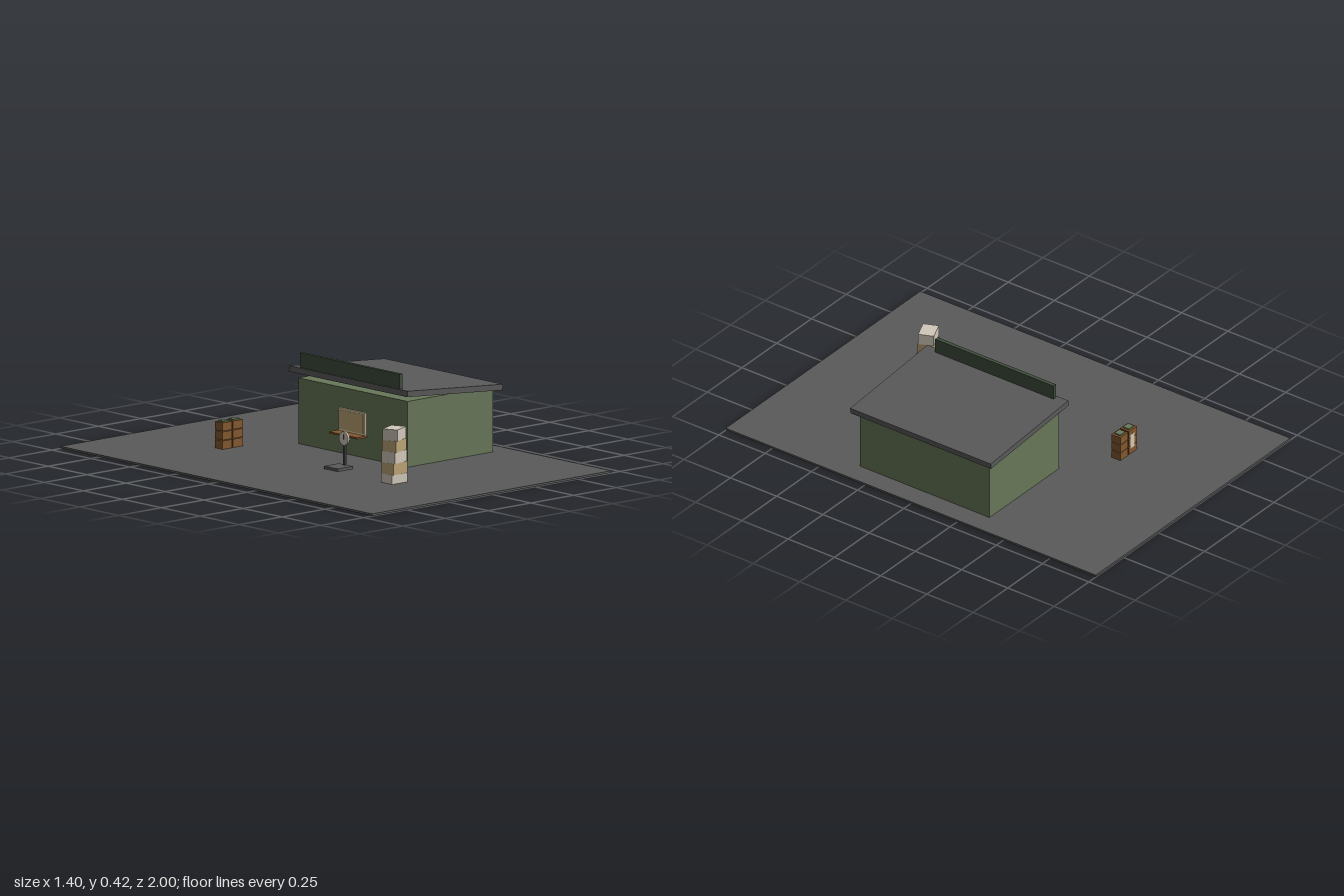
import * as THREE from 'three';

const mat = (name, color) => {
  const m = new THREE.MeshStandardMaterial({ color });
  m.name = name;
  return m;
};

export function createModel() {
  const model = new THREE.Group();
  model.name = 'tradingYard';
  const asphalt = mat('asphalt grey', 0x5a5a5a);
  const green = mat('wall green', 0x687859);
  const darkGreen = mat('sign green', 0x3f4d3c);
  const wood = mat('wood brown', 0x85592f);
  const glow = mat('warm window', 0xe8d3a8);
  const pale = mat('pale sack', 0xd2c9ba);
  const tan = mat('tan sack', 0xbca577);
  const steel = mat('dark steel', 0x4a4a4a);

  const box = (name, m, w, h, d, x, y, z, parent = model) => {
    const mesh = new THREE.Mesh(new THREE.BoxGeometry(w, h, d), m);
    mesh.name = name;
    mesh.position.set(x, y, z);
    parent.add(mesh);
    return mesh;
  };

  // Ground slab
  box('ground', asphalt, 1.4, 0.009, 2, 0, 0.0055, 0);

  // Building with a sloping roof and a sign board on the high side
  const building = new THREE.Group();
  building.name = 'building';
  model.add(building);
  box('walls', green, 0.5, 0.29, 0.7, 0.35, 0.155, 0, building);
  box('roof', asphalt, 0.56, 0.026, 0.76, 0.35, 0.318, 0, building).rotation.z = -0.08;
  box('signBoard', darkGreen, 0.018, 0.07, 0.64, 0.089, 0.383, 0, building);
  box('window', glow, 0.01, 0.1, 0.17, 0.096, 0.16, 0, building);
  box('windowPane', tan, 0.004, 0.085, 0.155, 0.0905, 0.16, 0, building);
  box('counter', wood, 0.06, 0.008, 0.18, 0.07, 0.106, 0, building);

  // Twisted stack of sacks
  const sacks = new THREE.Group();
  sacks.name = 'sackStack';
  sacks.position.set(-0.16, 0, 0.55);
  model.add(sacks);
  for (let i = 0; i < 5; i++) {
    box('sack', i % 2 ? tan : pale, 0.09, 0.05, 0.07, 0, 0.025 + i * 0.05, 0, sacks).rotation.y = i * 0.1;
  }

  // Weighing scale: platform, post and round dial
  const scale = new THREE.Group();
  scale.name = 'scale';
  scale.position.set(-0.145, 0, 0.175);
  model.add(scale);
  box('scalePlatform', asphalt, 0.088, 0.012, 0.088, 0, 0.016, 0, scale);
  box('scalePost', steel, 0.01, 0.13, 0.012, 0.037, 0.085, 0, scale);
  const dial = new THREE.Mesh(new THREE.CylinderGeometry(0.03, 0.03, 0.01, 20), pale);
  dial.name = 'scaleDial';
  dial.rotation.z = Math.PI / 2;
  dial.position.set(0.034, 0.14, 0);
  scale.add(dial);
  box('dialNeedle', steel, 0.002, 0.022, 0.004, 0.0285, 0.147, 0, scale);

  // Two columns of three crates filled with produce
  const crates = new THREE.Group();
  crates.name = 'crates';
  crates.position.set(-0.17, 0.01, -0.5);
  model.add(crates);
  for (const side of [-1, 1]) {
    for (let i = 0; i < 3; i++) {
      box('crate', wood, 0.056, 0.037, 0.048, side * 0.031, 0.0185 + i * 0.04, 0, crates);
      box('produce', green, 0.036, 0.008, 0.032, side * 0.031, 0.039 + i * 0.04, 0, crates);
    }
  }
  box('crateLabel', pale, 0.028, 0.07, 0.002, -0.027, 0.062, -0.0245, crates);

  return model;
}
